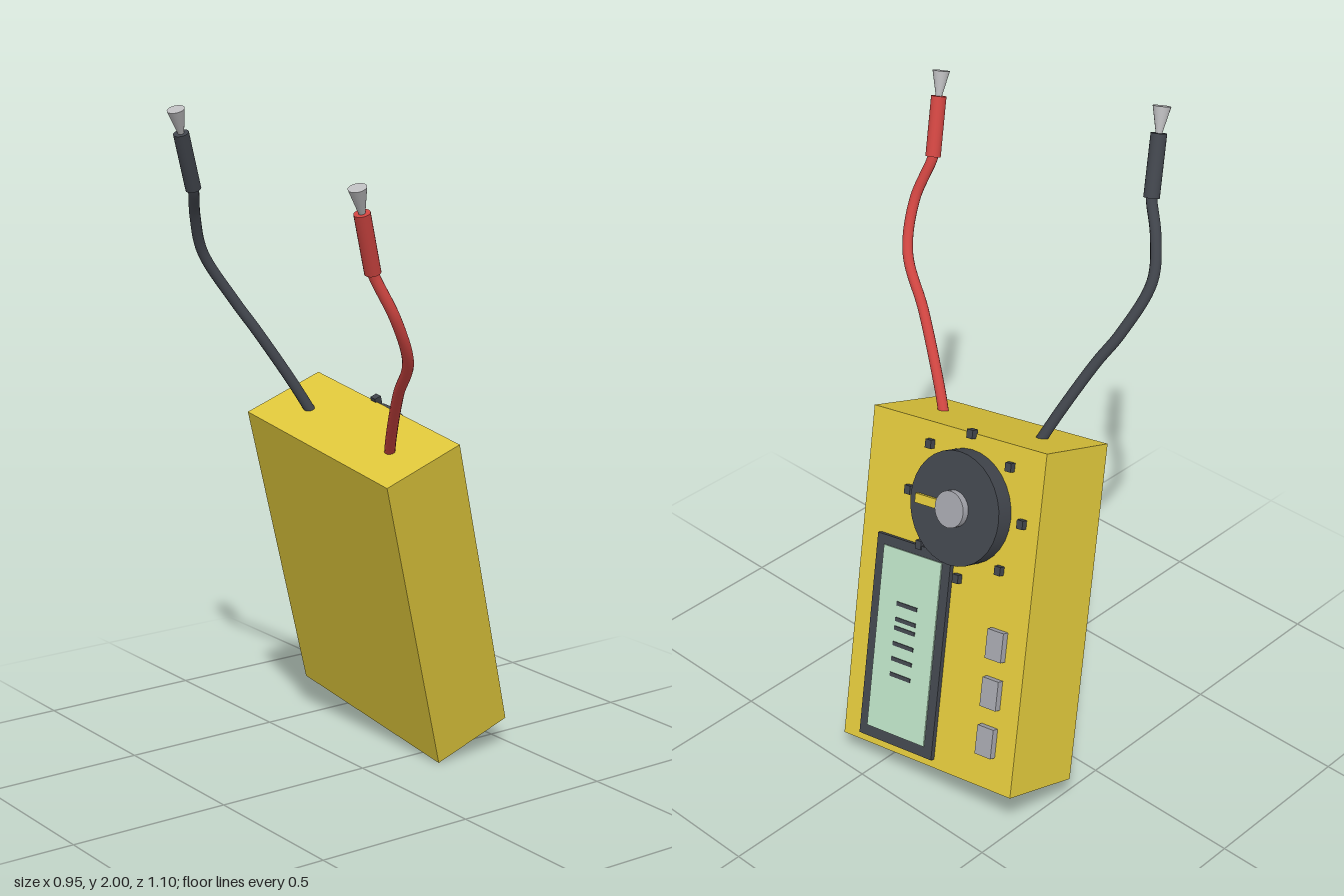
import * as THREE from 'three';

const mat = (name, color, extra = {}) => {
  const m = new THREE.MeshStandardMaterial({ color, ...extra });
  m.name = name;
  return m;
};

export function createModel() {
  const yellow = mat('yellow', 0xdcc43a);
  const dark = mat('charcoal', 0x40444b);
  const glass = mat('paleGreen', 0xb7dbc0);
  const grey = mat('grey', 0xa0a1a8);
  const metal = mat('metal', 0xbcbcbe);
  const red = mat('red', 0xcc4440);

  const model = new THREE.Group();
  model.name = 'handheldMeter';
  const add = (parent, name, geo, material) => {
    const mesh = new THREE.Mesh(geo, material);
    mesh.name = name;
    parent.add(mesh);
    return mesh;
  };

  // Tilted housing; inside it local +x is the face of the meter, +y its top
  const meter = new THREE.Group();
  meter.name = 'meter';
  meter.position.set(0.16, 0.5775, -0.1365);
  meter.rotation.set(THREE.MathUtils.degToRad(9.85), 0, THREE.MathUtils.degToRad(19.1), 'ZXY');
  model.add(meter);
  const FACE = 0.1375;
  add(meter, 'housing', new THREE.BoxGeometry(FACE * 2, 1.02, 0.66), yellow);

  // Plate lying on the face: from depth x0 to x1, centred on (y, z)
  const plate = (name, x0, x1, y, z, h, w, material) =>
    add(meter, name, new THREE.BoxGeometry(x1 - x0, h, w), material)
      .position.set((x0 + x1) / 2, y, z);

  // Display with plain dark segments
  plate('displayBezel', FACE - 0.005, FACE + 0.014, -0.172, 0.112, 0.625, 0.29, dark);
  plate('displayScreen', FACE + 0.01, FACE + 0.018, -0.17, 0.112, 0.562, 0.228, glass);
  for (const y of [-0.075, -0.15, -0.245])
    for (const side of [-1, 1])
      plate('displaySegment', FACE + 0.017, FACE + 0.021, y + side * 0.024, 0.113, 0.012, 0.08, dark);

  // Push buttons
  for (let i = 0; i < 3; i++)
    plate('button', FACE - 0.005, FACE + 0.02, -0.075 - i * 0.145, -0.229, 0.088, 0.06, grey);

  // Rotary dial with cap, pointer and a ring of marks
  const KY = 0.294, KZ = -0.058;
  const disc = (name, r, x0, x1, material) => {
    const geo = new THREE.CylinderGeometry(r, r, x1 - x0, 32).rotateZ(-Math.PI / 2);
    add(meter, name, geo, material).position.set((x0 + x1) / 2, KY, KZ);
  };
  disc('dial', 0.168, FACE - 0.005, 0.191, dark);
  disc('dialCap', 0.054, 0.186, 0.213, grey);
  plate('dialPointer', 0.186, 0.202, KY, KZ + 0.075, 0.028, 0.132, yellow);
  for (let i = 0; i < 8; i++) {
    const a = (i * Math.PI) / 4;
    plate('dialMark', FACE - 0.005, FACE + 0.018,
      KY + 0.215 * Math.sin(a), KZ + 0.215 * Math.cos(a), 0.026, 0.022, dark);
  }

  // Test leads: curved cable, straight grip and flared metal tip
  const up = new THREE.Vector3(0, 1, 0).applyEuler(meter.rotation);
  const rod = (parent, name, start, length, r0, r1, material) => {
    const mesh = add(parent, name, new THREE.CylinderGeometry(r1, r0, length, 20), material);
    mesh.quaternion.setFromEuler(meter.rotation);
    mesh.position.copy(start).addScaledVector(up, length / 2);
  };
  const lead = (name, material, points) => {
    const group = new THREE.Group();
    group.name = name;
    model.add(group);
    const pts = points.map((p) => new THREE.Vector3(...p));
    const gripStart = pts[pts.length - 1];
    const path = new THREE.CatmullRomCurve3(
      [...pts, gripStart.clone().addScaledVector(up, 0.03)]);
    add(group, 'cable', new THREE.TubeGeometry(path, 48, 0.016, 12), material);
    rod(group, 'grip', gripStart, 0.18, 0.023, 0.023, material);
    rod(group, 'tip', gripStart.clone().addScaledVector(up, 0.175), 0.08, 0.008, 0.026, metal);
  };
  lead('redLead', red, [
    [0.005, 1.0, 0.125], [-0.025, 1.065, 0.172], [-0.114, 1.235, 0.325],
    [-0.18, 1.357, 0.455], [-0.257, 1.49, 0.5], [-0.318, 1.618, 0.481],
  ]);
  lead('blackLead', dark, [
    [-0.015, 1.06, -0.23], [-0.065, 1.16, -0.265], [-0.15, 1.315, -0.325],
    [-0.2, 1.405, -0.368], [-0.285, 1.553, -0.405], [-0.33, 1.669, -0.373],
    [-0.365, 1.755, -0.324],
  ]);
  return model;
}
